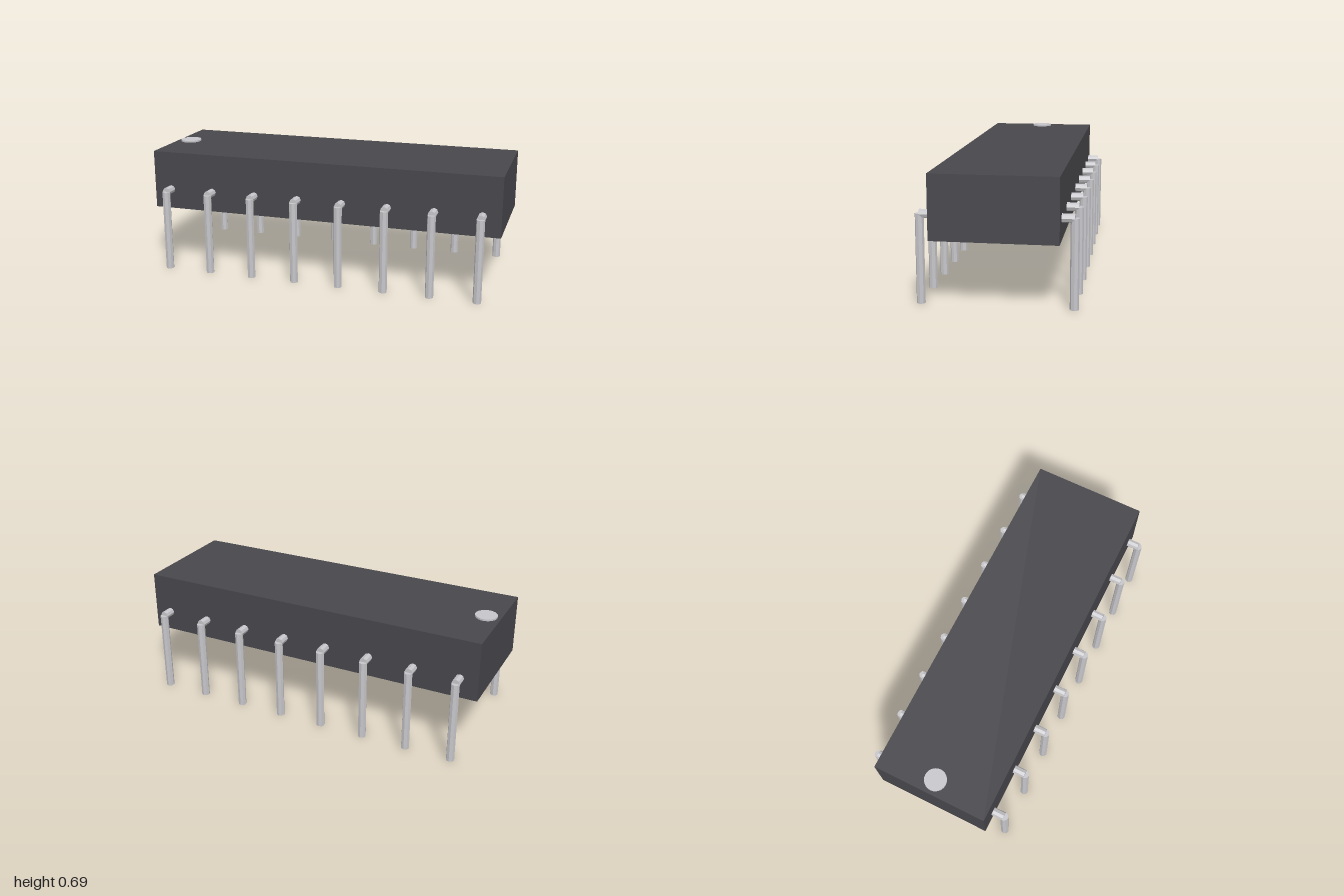
import * as THREE from 'three';

export function createModel() {
  const casing = new THREE.MeshStandardMaterial({ color: 0x48474c });
  casing.name = 'darkCasing';
  const metal = new THREE.MeshStandardMaterial({ color: 0xc6c6ca, flatShading: true });
  metal.name = 'paleMetal';

  const model = new THREE.Group();
  model.name = 'pinnedChip';
  const add = (parent, name, geometry, material, x, y, z) => {
    const mesh = new THREE.Mesh(geometry, material);
    mesh.name = name;
    mesh.position.set(x, y, z);
    parent.add(mesh);
    return mesh;
  };

  // Block and orientation dot
  add(model, 'body', new THREE.BoxGeometry(2, 0.331, 0.64), casing, 0, 0.5125, 0);
  add(model, 'orientationDot', new THREE.CylinderGeometry(0.06, 0.06, 0.02, 24), metal, -0.92, 0.678, 0);

  // Two mirrored rows of bent pins: a short arm into the body and a long leg down
  const r = 0.0228, bendY = 0.46, bendZ = 0.385, armStart = 0.28;
  const leg = new THREE.CylinderGeometry(r, r, bendY, 8);
  const arm = new THREE.CylinderGeometry(r, r, bendZ - armStart, 8).rotateX(Math.PI / 2);
  for (const side of [1, -1]) {
    for (let i = 0; i < 8; i++) {
      const pin = new THREE.Group();
      pin.name = (side > 0 ? 'frontPin' : 'backPin') + (i + 1);
      pin.position.x = (i - 3.5) * 0.257;
      add(pin, 'leg', leg, metal, 0, bendY / 2, side * bendZ);
      add(pin, 'arm', arm, metal, 0, bendY, side * (bendZ + armStart) / 2);
      model.add(pin);
    }
  }
  return model;
}
